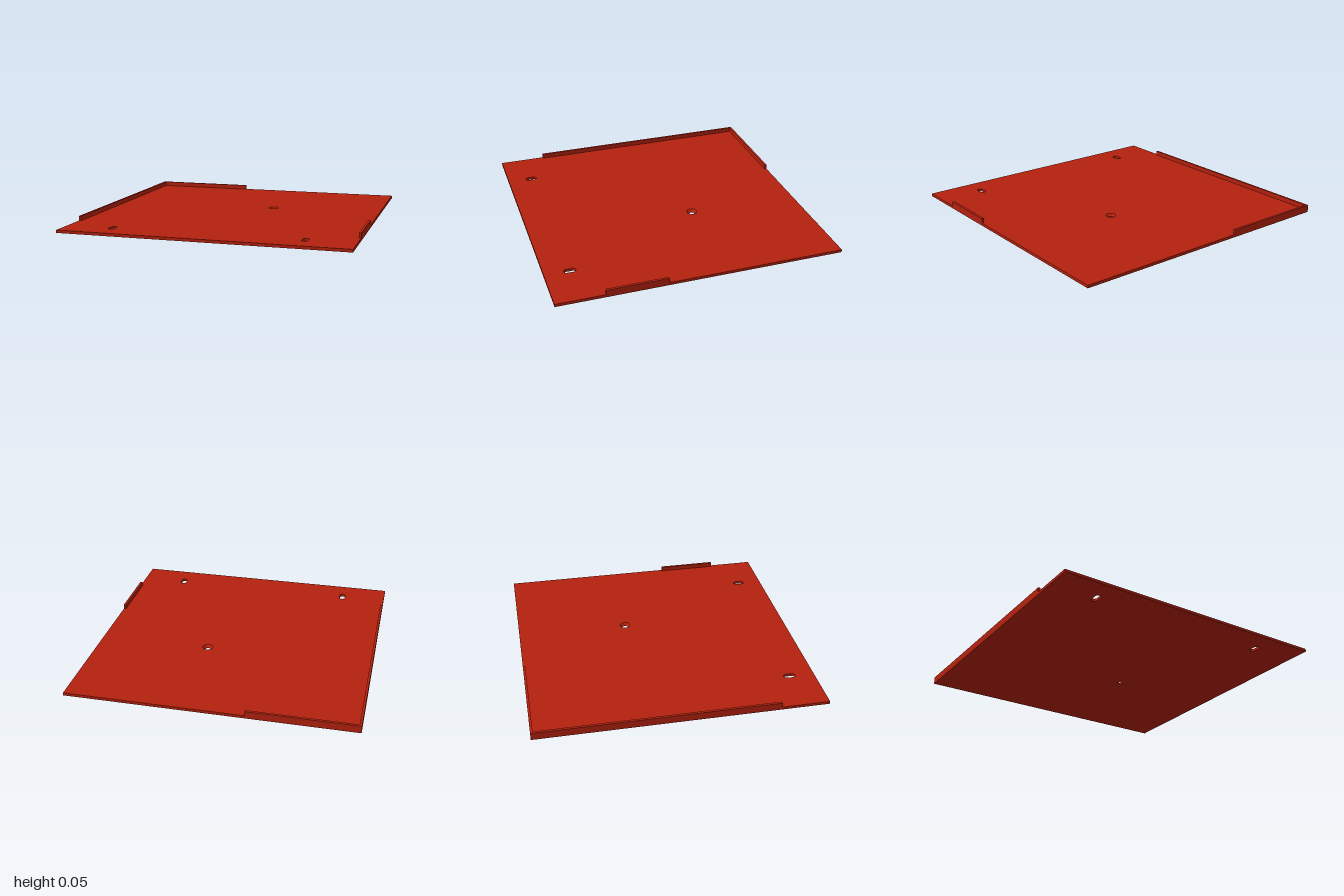
import * as THREE from 'three';
import { toCreasedNormals } from 'three/addons/utils/BufferGeometryUtils.js';

const T = 0.02;      // plate thickness
const TOP = 0.053;   // lip height
const LIP = 0.017;   // lip thickness
const SINK = { x: 0.2, z: -0.2, outer: 0.037, inner: 0.019 };

export function createModel() {
  const group = new THREE.Group();
  const red = new THREE.MeshStandardMaterial({ color: 0xb5210f });
  red.name = 'red';

  const add = (name, geometry, x = 0, y = 0, z = 0) => {
    const mesh = new THREE.Mesh(geometry, red);
    mesh.name = name;
    mesh.position.set(x, y, z);
    group.add(mesh);
  };

  // Square plate, drawn with shape y = -z
  const plate = new THREE.Shape([
    new THREE.Vector2(-1, -1), new THREE.Vector2(1, -1),
    new THREE.Vector2(1, 1), new THREE.Vector2(-1, 1),
  ]);

  // Two rounded slots near the front edge
  for (const x of [-0.667, 0.667]) {
    const slot = new THREE.Path();
    slot.absarc(x, -0.804, 0.021, 0, Math.PI);
    slot.absarc(x, -0.846, 0.021, Math.PI, 2 * Math.PI);
    slot.closePath();
    plate.holes.push(slot);
  }

  // Opening for the countersunk hole
  const opening = new THREE.Path();
  opening.absarc(SINK.x, -SINK.z, SINK.outer, 0, 2 * Math.PI);
  plate.holes.push(opening);

  const plateGeometry = new THREE.ExtrudeGeometry(plate, { depth: T, bevelEnabled: false, curveSegments: 16 });
  plateGeometry.rotateX(-Math.PI / 2);
  add('plate', toCreasedNormals(plateGeometry, 0.6));

  // Conical seat with a small through hole
  const seat = new THREE.LatheGeometry([
    new THREE.Vector2(SINK.outer, T),
    new THREE.Vector2(SINK.inner, 0.002),
    new THREE.Vector2(SINK.inner, 0),
    new THREE.Vector2(SINK.outer, 0),
  ], 32);
  add('countersink', toCreasedNormals(seat, 0.6), SINK.x, 0, SINK.z);

  // Raised lips along the edges
  const lip = (name, x0, x1, z0, z1) => add(name,
    new THREE.BoxGeometry(x1 - x0, TOP - T, z1 - z0),
    (x0 + x1) / 2, (T + TOP) / 2, (z0 + z1) / 2);
  lip('rightLip', -1, -1 + LIP, -1, 0.667);
  lip('backLip', -1 + LIP, -0.247, -1, -1 + LIP);
  lip('leftLip', 1 - LIP, 1, 0.243, 0.667);

  return group;
}
